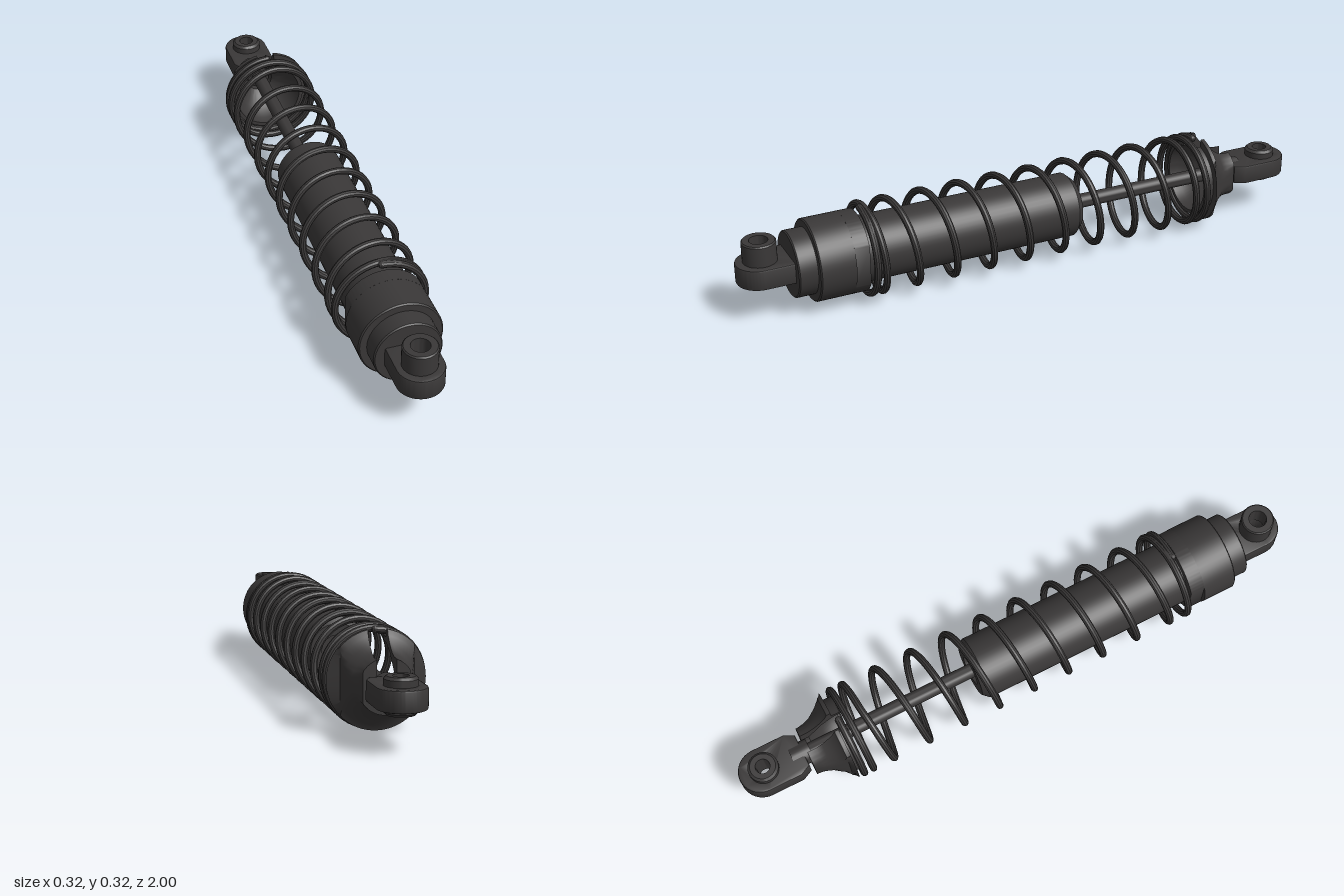
import * as THREE from 'three';
import { toCreasedNormals } from 'three/addons/utils/BufferGeometryUtils.js';

const AXIS = 0.158; // height of the damper axis
const dark = new THREE.MeshStandardMaterial({ color: 0x3a3838 });
const darkThin = new THREE.MeshStandardMaterial({ color: 0x3a3838, side: THREE.DoubleSide });
const vecs = (pts) => pts.map(([x, y]) => new THREE.Vector2(x, y));

function part(name, geometry, material = dark) {
  const mesh = new THREE.Mesh(toCreasedNormals(geometry, 0.6), material);
  mesh.name = name;
  return mesh;
}

// Turned part along z; profile points are [radius, z]
function turned(name, profile, segments = 48) {
  const mesh = part(name, new THREE.LatheGeometry(vecs(profile), segments).rotateX(Math.PI / 2));
  mesh.position.y = AXIS;
  return mesh;
}

// Ring standing upright with chamfered outer edges
function bushing(name, inner, outer, y0, y1, z, c) {
  const mesh = part(name, new THREE.LatheGeometry(vecs([
    [inner, y0], [outer - c, y0], [outer, y0 + c], [outer, y1 - c], [outer - c, y1], [inner, y1], [inner, y0],
  ]), 32));
  mesh.position.z = z;
  return mesh;
}

// Flat eyelet with a round end; side = 1 points to the front, -1 to the back
function eyelet(name, side, root, rootWidth, centre, hole, y0, y1) {
  const r = 0.075, b = 0.006;
  const s = new THREE.Shape();
  s.moveTo(-rootWidth + b, root);
  s.lineTo(rootWidth - b, root);
  s.lineTo(r - b, root + 0.03);
  s.lineTo(r - b, centre);
  s.absarc(0, centre, r - b, 0, Math.PI, false);
  s.lineTo(-r + b, root + 0.03);
  s.closePath();
  s.holes.push(new THREE.Path().absarc(0, centre, hole + b, 0, Math.PI * 2, true));
  const g = new THREE.ExtrudeGeometry(s, {
    depth: y1 - y0 - 2 * b, bevelThickness: b, bevelSize: b, bevelSegments: 2, curveSegments: 24,
  });
  g.rotateX(side * Math.PI / 2).translate(0, side > 0 ? y1 - b : y0 + b, 0);
  return part(name, g);
}

// Coil path with closed ends: [turn, z], turn 0 at the top
class Coil extends THREE.Curve {
  getPoint(t, target = new THREE.Vector3()) {
    const keys = [[-2, 0.586], [-1.5, 0.584], [-1, 0.573], [-0.5, 0.54], [0, 0.48], [8, -0.558],
      [8.5, -0.588], [9, -0.607], [9.5, -0.624], [10, -0.636]];
    const turn = -2 + 12 * t;
    let i = 0;
    while (i < keys.length - 2 && turn > keys[i + 1][0]) i++;
    const [a, b] = [keys[i], keys[i + 1]];
    const z = THREE.MathUtils.lerp(a[1], b[1], (turn - a[0]) / (b[0] - a[0]));
    const phi = turn * Math.PI * 2;
    return target.set(0.146 * Math.sin(phi), AXIS + 0.146 * Math.cos(phi), z);
  }
}

// Flared cup with a slot of constant width along its top and tapered sides
function springPerch() {
  const group = new THREE.Group();
  group.name = 'springPerch';
  const half = 0.03, segments = 56;
  const profile = [[0.045, -0.768], [0.085, -0.768], [0.086, -0.738], [0.094, -0.716], [0.112, -0.692],
    [0.135, -0.672], [0.153, -0.664], [0.153, -0.65], [0.128, -0.65], [0.128, -0.62],
    [0.115, -0.62], [0.112, -0.65], [0.09, -0.69], [0.062, -0.72], [0.045, -0.74], [0.045, -0.768]];
  const g = new THREE.LatheGeometry(vecs(profile), segments);
  const p = g.attributes.position;
  for (let i = 0; i <= segments; i++) {
    profile.forEach(([r, z], j) => {
      const gap = Math.asin(half / r);
      const phi = gap + (i / segments) * (Math.PI * 2 - 2 * gap);
      const limit = z > -0.664 ? 1 : 0.113 + (z + 0.664) * 0.4;
      const x = THREE.MathUtils.clamp(r * Math.sin(phi), -limit, limit);
      p.setXYZ(i * profile.length + j, x, z, r * Math.cos(phi));
    });
  }
  g.rotateX(Math.PI / 2).rotateZ(Math.PI);
  group.add(part('perchCup', g, darkThin));
  // Walls of the slot
  const wall = new THREE.Shape(vecs(profile.slice(0, -1).map(([r, z]) => [Math.sqrt(r * r - half * half), z])));
  const turn = new THREE.Matrix4().makeBasis(
    new THREE.Vector3(0, 1, 0), new THREE.Vector3(0, 0, 1), new THREE.Vector3(1, 0, 0));
  for (const side of [-1, 1]) {
    const w = new THREE.ShapeGeometry(wall).applyMatrix4(turn).translate(side * half, 0, 0);
    group.add(part('perchSlotWall', w, darkThin));
  }
  group.position.y = AXIS;
  return group;
}

// Collar slice: a disc whose left and right sides are cut flat
function collarFlats() {
  const r = 0.135, a = Math.acos(0.12 / r);
  const s = new THREE.Shape();
  s.absarc(0, 0, r, a, Math.PI - a, false);
  s.absarc(0, 0, r, Math.PI + a, Math.PI * 2 - a, false);
  s.closePath();
  const mesh = part('collarFlats', new THREE.ExtrudeGeometry(s, { depth: 0.05, bevelEnabled: false, curveSegments: 24 }));
  mesh.position.set(0, AXIS, 0.6);
  return mesh;
}

export function createModel() {
  const model = new THREE.Group();
  model.name = 'shockAbsorber';

  // Cylinder body with a recessed rod seal, then collar and end cap
  model.add(turned('damperBody', [[0, -0.14], [0.045, -0.14], [0.05, -0.168], [0.088, -0.168],
    [0.108, -0.146], [0.108, 0.62]]));
  model.add(collarFlats());
  model.add(turned('collar', [[0, 0.65], [0.135, 0.65], [0.135, 0.764], [0.131, 0.768], [0, 0.768]]));
  model.add(turned('endCap', [[0.109, 0.76], [0.109, 0.826], [0.105, 0.83], [0, 0.83]]));

  // Front mount
  model.add(eyelet('frontEyelet', 1, 0.8, 0.075, 0.925, 0.03, 0.125, 0.195));
  model.add(bushing('frontBoss', 0.03, 0.055, 0.19, 0.265, 0.92, 0.004));

  // Piston rod and rear mount
  model.add(turned('pistonRod', [[0, -0.8], [0.024, -0.8], [0.024, -0.13], [0, -0.13]], 24));
  model.add(turned('rodEndNeck', [[0, -0.82], [0.04, -0.82], [0.04, -0.755], [0, -0.755]], 24));
  model.add(eyelet('rearEyelet', -1, 0.785, 0.06, 0.925, 0.034, 0.126, 0.192));
  model.add(bushing('rearBushing', 0.024, 0.05, 0.108, 0.22, -0.915, 0.008));

  // Spring, its closed wire ends and its rear seat
  const coil = new Coil();
  model.add(part('spring', new THREE.TubeGeometry(coil, 540, 0.012, 10)));
  for (const t of [0, 1]) {
    const end = part('springEnd', new THREE.SphereGeometry(0.012, 10, 8));
    end.position.copy(coil.getPoint(t));
    model.add(end);
  }
  model.add(springPerch());
  return model;
}
